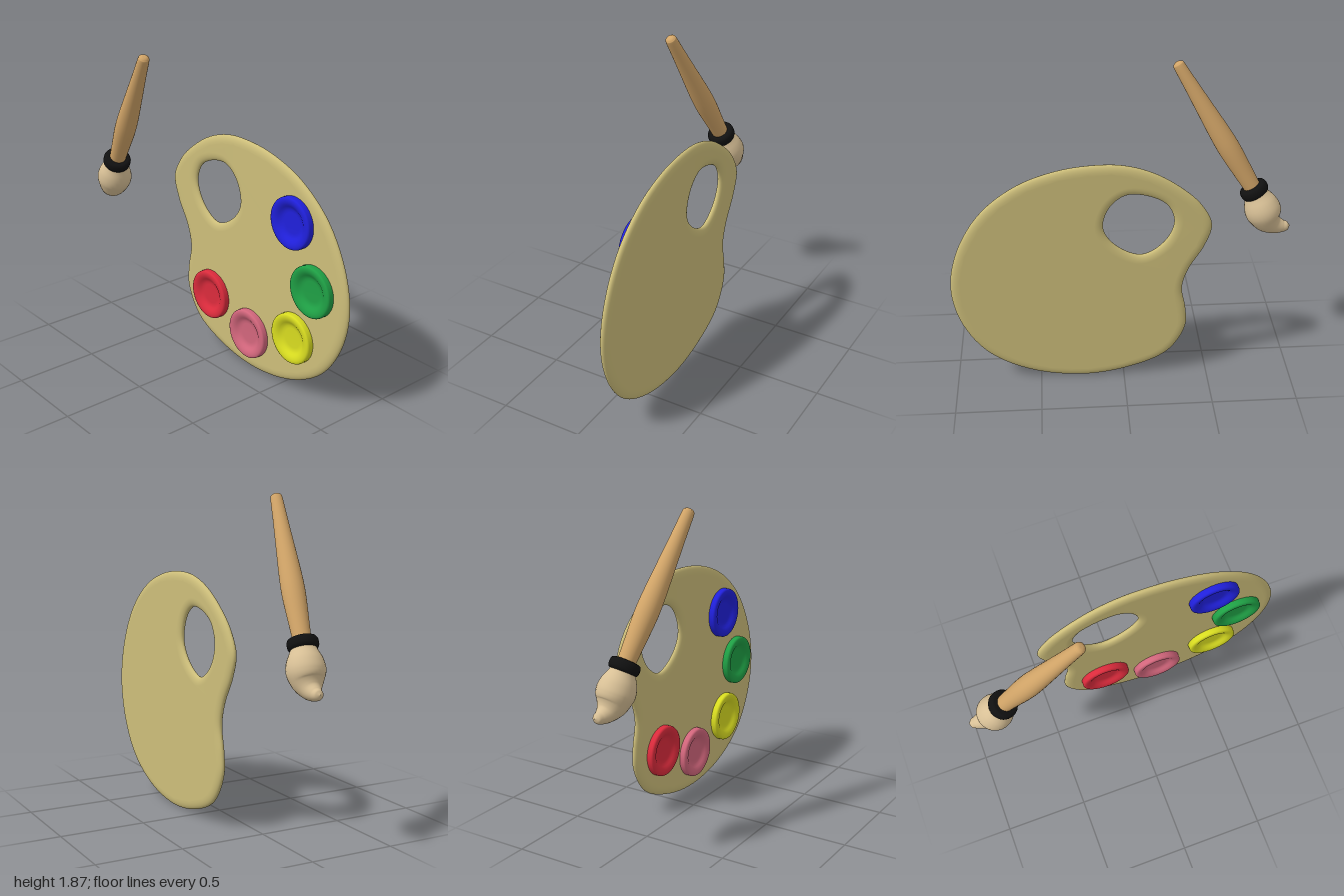
import * as THREE from 'three';
import { mergeVertices } from 'three/addons/utils/BufferGeometryUtils.js';

const mat = (name, color) => {
  const m = new THREE.MeshStandardMaterial({ color });
  m.name = name;
  return m;
};
const v2 = ([x, y]) => new THREE.Vector2(x, y);

// Closed smooth outline through a few points
const smoothLoop = (pts, n) => new THREE.SplineCurve([...pts, pts[0]].map(v2)) && (() => {
  const c = new THREE.CatmullRomCurve3(pts.map(([x, y]) => new THREE.Vector3(x, y, 0)), true);
  return c.getPoints(n).slice(0, -1).map(p => new THREE.Vector2(p.x, p.y));
})();

// Round sections [x, y, z, radius] swept along a smooth path
function sweep(sections, rings, sides) {
  const path = new THREE.CatmullRomCurve3(sections.map(s => new THREE.Vector3(s[0], s[1], s[2])));
  const radius = new THREE.SplineCurve(sections.map((s, i) => new THREE.Vector2(i, s[3])));
  const pos = [], index = [];
  for (let i = 0; i <= rings; i++) {
    const t = i / rings, c = path.getPoint(t), r = Math.max(radius.getPoint(t).y, 0);
    const tan = path.getTangent(t);
    const u = new THREE.Vector3(0, 0, 1).cross(tan).normalize();
    const w = tan.clone().cross(u);
    for (let j = 0; j < sides; j++) {
      const a = j / sides * Math.PI * 2;
      const p = c.clone().addScaledVector(u, r * Math.cos(a)).addScaledVector(w, r * Math.sin(a));
      pos.push(p.x, p.y, p.z);
      if (i < rings) {
        const k = (j + 1) % sides, A = i * sides + j, B = i * sides + k;
        index.push(A, B, A + sides, B, B + sides, A + sides);
      }
    }
  }
  const g = new THREE.BufferGeometry();
  g.setAttribute('position', new THREE.Float32BufferAttribute(pos, 3));
  g.setIndex(index);
  g.computeVertexNormals();
  return g;
}

export function createModel() {
  const model = new THREE.Group();
  model.name = 'paintSet';
  const add = (parent, name, geo, material) => {
    const m = new THREE.Mesh(geo, material);
    m.name = name;
    parent.add(m);
    return m;
  };

  // Palette board with thumb hole and rounded rims
  const shape = new THREE.Shape(smoothLoop([
    [-0.5, 1.03], [-0.46, 0.89], [-0.375, 0.74], [-0.34, 0.61], [-0.365, 0.46], [-0.365, 0.33],
    [-0.26, 0.155], [-0.04, 0.05], [0.25, 0.005], [0.57, 0.06], [0.81, 0.2], [0.95, 0.41],
    [1.0, 0.65], [0.95, 0.9], [0.81, 1.14], [0.6, 1.31], [0.36, 1.4], [0.13, 1.427],
    [-0.02, 1.415], [-0.18, 1.36], [-0.34, 1.255], [-0.44, 1.155]], 120));
  shape.holes.push(new THREE.Path(smoothLoop([
    [-0.285, 1.06], [-0.23, 1.18], [-0.03, 1.24], [0.075, 1.17],
    [0.118, 1.03], [0.05, 0.915], [-0.1, 0.845], [-0.23, 0.925]], 56)));
  let board = new THREE.ExtrudeGeometry(shape, {
    depth: 0.002, bevelEnabled: true, bevelThickness: 0.022, bevelSize: 0.05,
    bevelOffset: -0.05, bevelSegments: 7, curveSegments: 1
  });
  board.deleteAttribute('uv');
  board.deleteAttribute('normal');
  board = mergeVertices(board, 1e-4);
  board.computeVertexNormals();
  add(model, 'paletteBoard', board, mat('paleWood', 0xcdbe7a)).position.z = -0.179;

  // Round paint pans with a hollow in the middle
  const pan = new THREE.LatheGeometry([
    [0.148, 0], [0.153, 0.006], [0.153, 0.036], [0.15, 0.043], [0.143, 0.047], [0.132, 0.048],
    [0.12, 0.046], [0.108, 0.041], [0.098, 0.034], [0.088, 0.027], [0.076, 0.022], [0.06, 0.02],
    [0, 0.02]].map(v2), 48);
  pan.rotateX(Math.PI / 2);
  for (const [name, x, y, color] of [
    ['blue', 0.578, 1.064, 0x2020dc], ['green', 0.749, 0.71, 0x1fa045],
    ['yellow', 0.61, 0.363, 0xd8dc20], ['pink', 0.24, 0.24, 0xd2667c],
    ['red', -0.112, 0.368, 0xdb2b3c]]) {
    add(model, name + 'Paint', pan, mat(name, color)).position.set(x, y, -0.163);
  }

  // Brush handle and collar, built upright and tilted along the brush axis
  const brush = new THREE.Group();
  brush.name = 'brush';
  model.add(brush);
  const stem = new THREE.Group();
  stem.name = 'brushStem';
  const axis = new THREE.Vector3(0.46, 0.765, 0.11);
  stem.position.set(-0.778, 1.107, 0.068);
  stem.quaternion.setFromUnitVectors(new THREE.Vector3(0, 1, 0), axis.clone().normalize());
  brush.add(stem);
  const profile = new THREE.SplineCurve([
    [0.048, 0], [0.055, 0.12], [0.064, 0.28], [0.062, 0.4], [0.051, 0.58], [0.041, 0.74],
    [0.034, 0.868], [0.028, 0.888], [0.015, 0.897], [0, 0.898]].map(v2)).getPoints(40);
  profile[40].x = 0;
  add(stem, 'handle', new THREE.LatheGeometry(profile, 28), mat('wood', 0xd2a568));
  add(stem, 'collar', new THREE.LatheGeometry([
    [0, -0.032], [0.066, -0.032], [0.078, -0.027], [0.084, -0.015], [0.085, 0], [0.084, 0.015],
    [0.078, 0.027], [0.066, 0.032], [0, 0.032]].map(v2), 32), mat('black', 0x111111));

  // Bristle tuft, bulging and then curling to a tip
  add(brush, 'bristles', sweep([
    [-0.785, 1.09, 0.067, 0.068], [-0.815, 1.025, 0.058, 0.098], [-0.84, 0.97, 0.05, 0.106],
    [-0.87, 0.918, 0.045, 0.086], [-0.91, 0.887, 0.04, 0.058], [-0.955, 0.876, 0.037, 0.038],
    [-0.985, 0.878, 0.035, 0.025], [-0.999, 0.88, 0.034, 0]], 42, 28), mat('bristle', 0xd8c096));

  return model;
}
